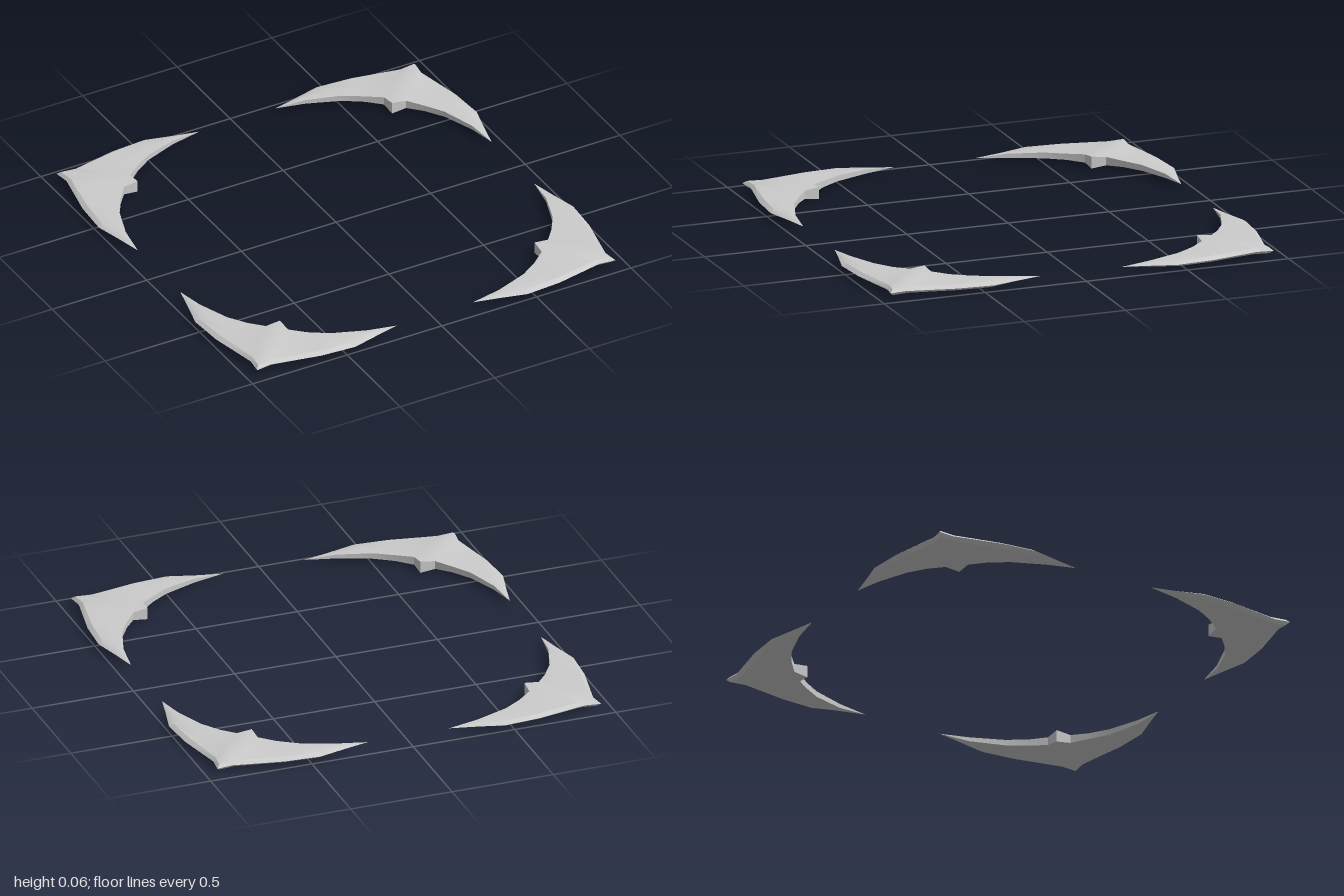
import * as THREE from 'three';
import { toCreasedNormals } from 'three/addons/utils/BufferGeometryUtils.js';

const MID_Y = 0.029;
const BEVEL = 0.022;

// Cross-sections from the blade tip to its diagonal spine:
// outer x, z | inner x, z | half heights at bevel, middle, inner edge
const HALF = [
  [0.20, 0.935, 0.20, 0.935, 0, 0, 0],
  [0.32, 0.963, 0.35, 0.915, 0.009, 0.01, 0.01],
  [0.455, 0.998, 0.51, 0.86, 0.013, 0.014, 0.014],
  [0.63, 0.986, 0.60, 0.802, 0.014, 0.015, 0.015],
  [0.87, 0.937, 0.67, 0.745, 0.014, 0.017, 0.02],
  [0.947, 0.947, 0.673, 0.673, 0.014, 0.029, 0.029],
];

function bladeGeometry() {
  // Mirror the half across the diagonal by swapping x and z
  const mirrored = HALF.slice(0, -1).reverse()
    .map(([ox, oz, ix, iz, ...h]) => [oz, ox, iz, ix, ...h]);
  const sections = [...HALF, ...mirrored];
  const positions = [];
  const index = [];
  const ring = 7;

  for (const [ox, oz, ix, iz, hBevel, hMid, hInner] of sections) {
    const length = Math.hypot(ix - ox, iz - oz);
    const bevel = length > 0 ? Math.min(BEVEL / length, 0.4) : 0;
    const profile = [
      [0, 0], [bevel, hBevel], [0.5, hMid], [1, hInner],
      [1, -hInner], [0.5, -hMid], [bevel, -hBevel],
    ];
    for (const [t, h] of profile) {
      positions.push(ox + (ix - ox) * t, MID_Y + h, oz + (iz - oz) * t);
    }
  }

  // Skin between sections, with single triangles at the pointed tips
  const last = sections.length - 2;
  for (let i = 0; i <= last; i++) {
    for (let j = 0; j < ring; j++) {
      const k = (j + 1) % ring;
      const a = i * ring + j, d = i * ring + k;
      const b = a + ring, c = d + ring;
      if (i === 0) index.push(a, b, c);
      else if (i === last) index.push(a, b, d);
      else if (i < sections.length / 2 - 1) index.push(a, b, c, a, c, d);
      else index.push(a, b, d, b, c, d);
    }
  }

  const geometry = new THREE.BufferGeometry();
  geometry.setAttribute('position', new THREE.Float32BufferAttribute(positions, 3));
  geometry.setIndex(index);
  return toCreasedNormals(geometry, THREE.MathUtils.degToRad(30));
}

export function createModel() {
  const model = new THREE.Group();
  model.name = 'bladeRing';
  const geometry = bladeGeometry();
  const material = new THREE.MeshStandardMaterial({ color: 0xcccccc });
  // One crescent blade per corner
  const names = ['frontLeftBlade', 'backLeftBlade', 'backRightBlade', 'frontRightBlade'];
  names.forEach((name, i) => {
    const blade = new THREE.Mesh(geometry, material);
    blade.name = name;
    blade.rotation.y = i * Math.PI / 2;
    model.add(blade);
  });
  return model;
}
